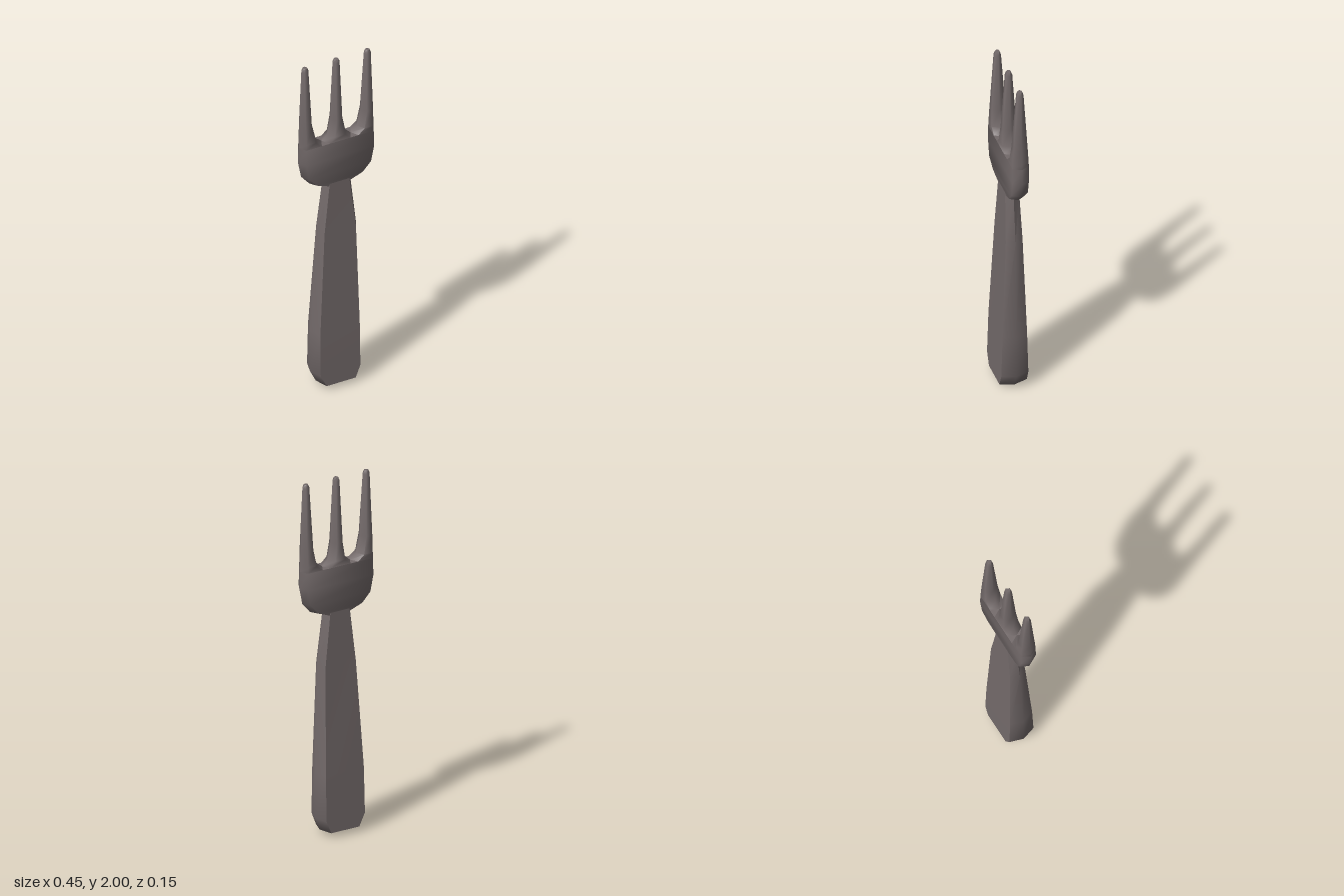
import * as THREE from 'three';
import { toCreasedNormals } from 'three/addons/utils/BufferGeometryUtils.js';

// Six-sided loft: each section is [y, left x, right x, half depth]
function loft(sections, crease) {
  const pos = [], index = [], n = 6;
  for (const [y, l, r, d] of sections) {
    const i = Math.min(0.024, (r - l) * 0.25);
    pos.push(r, y, 0, r - i, y, -d, l + i, y, -d, l, y, 0, l + i, y, d, r - i, y, d);
  }
  for (let s = 0; s < sections.length - 1; s++) {
    for (let j = 0; j < n; j++) {
      const a = s * n + j, b = s * n + (j + 1) % n;
      index.push(a, b, b + n, a, b + n, a + n);
    }
  }
  // end caps
  const top = (sections.length - 1) * n;
  for (let j = 1; j < n - 1; j++) {
    index.push(0, j + 1, j, top, top + j, top + j + 1);
  }
  const geo = new THREE.BufferGeometry();
  geo.setAttribute('position', new THREE.Float32BufferAttribute(pos, 3));
  geo.setIndex(index);
  return toCreasedNormals(geo, crease);
}

export function createModel() {
  const group = new THREE.Group();
  const metal = new THREE.MeshStandardMaterial({ color: 0x736a6a });
  metal.name = 'dull metal';

  const add = (name, sections, crease) => {
    const mesh = new THREE.Mesh(loft(sections, crease), metal);
    mesh.name = name;
    group.add(mesh);
  };

  // Handle, slightly lopsided and thickest at the butt
  add('handle', [
    [0.005, -0.05, 0.03, 0.008],
    [0.035, -0.12, 0.10, 0.075],
    [0.105, -0.155, 0.128, 0.074],
    [0.36, -0.153, 0.128, 0.067],
    [0.96, -0.117, 0.117, 0.046],
    [1.26, -0.082, 0.082, 0.038],
  ], 1.0);

  // Rounded palm of the head
  add('head', [
    [1.245, -0.085, 0.085, 0.036],
    [1.275, -0.16, 0.16, 0.04],
    [1.33, -0.207, 0.207, 0.045],
    [1.42, -0.225, 0.225, 0.045],
    [1.515, -0.223, 0.223, 0.045],
  ], 1.2);

  // Three tapering tines
  const outer = [
    [1.515, 0.085, 0.223, 0.045],
    [1.545, 0.122, 0.222, 0.044],
    [1.64, 0.145, 0.217, 0.038],
    [1.98, 0.164, 0.206, 0.017],
    [2.0, 0.173, 0.197, 0.011],
  ];
  add('leftTine', outer, 1.2);
  add('rightTine', outer.map(([y, l, r, d]) => [y, -r, -l, d]), 1.2);
  add('middleTine', [
    [1.515, -0.085, 0.085, 0.045],
    [1.545, -0.054, 0.054, 0.044],
    [1.64, -0.034, 0.034, 0.038],
    [1.98, -0.021, 0.021, 0.017],
    [2.0, -0.012, 0.012, 0.011],
  ], 1.2);

  return group;
}
